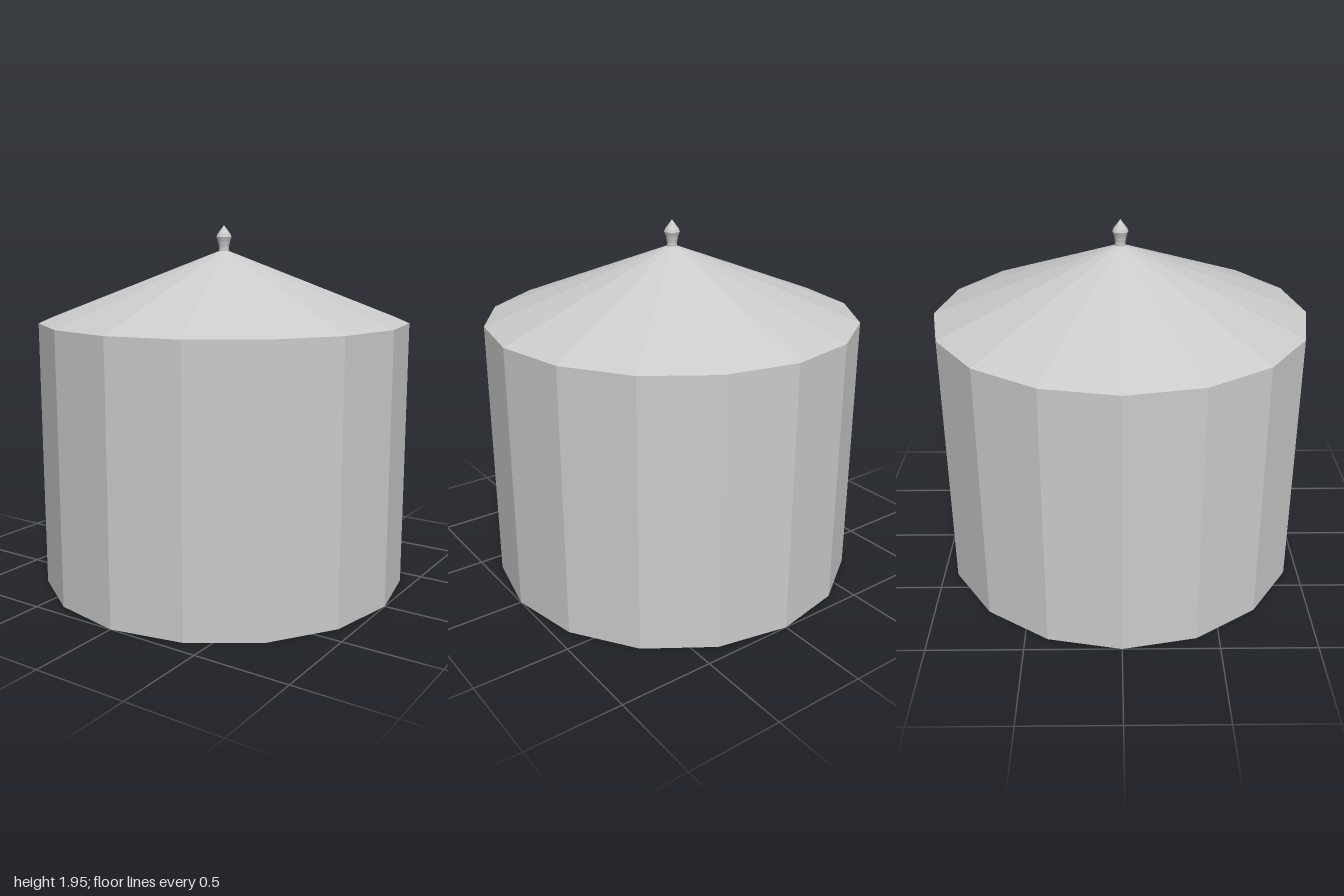
import * as THREE from 'three';

const SIDES = 16;
const material = new THREE.MeshStandardMaterial({ color: 0xcccccc, flatShading: true });

function add(group, name, geometry, y = 0) {
  const mesh = new THREE.Mesh(geometry, material);
  mesh.name = name;
  mesh.position.y = y;
  group.add(mesh);
}

export function createModel() {
  const group = new THREE.Group();
  group.name = 'roundHouse';
  const eaveY = 1.435, roofTopY = 1.81;

  // Sixteen-sided wall with a closed floor
  add(group, 'wall', new THREE.CylinderGeometry(1, 1, eaveY, SIDES), eaveY / 2);

  // Shallow faceted roof, flush with the wall
  const roofHeight = roofTopY - eaveY;
  add(group, 'roof', new THREE.CylinderGeometry(0.027, 1, roofHeight, SIDES, 1, true), eaveY + roofHeight / 2);

  // Small flared finial with a pointed cap
  const profile = [[0.027, 1.8], [0.027, 1.83], [0.033, 1.86], [0.042, 1.885], [0.036, 1.9], [0, 1.948]];
  add(group, 'finial', new THREE.LatheGeometry(profile.map(([r, y]) => new THREE.Vector2(r, y)), SIDES));

  return group;
}
